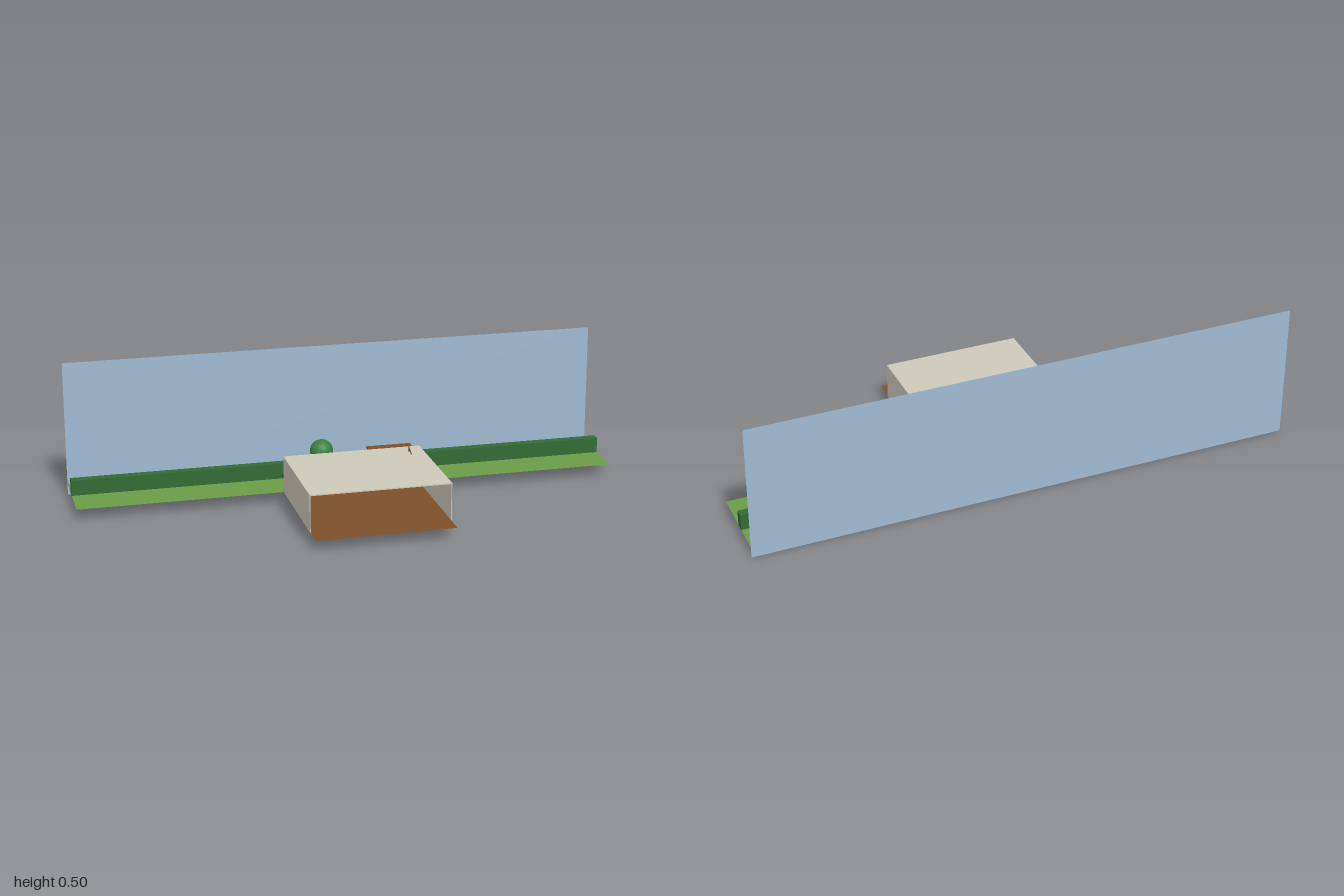
import * as THREE from 'three';

export function createModel() {
  const root = new THREE.Group();
  root.name = 'gardenRoom';
  const mat = (name, color, side = THREE.FrontSide) => {
    const m = new THREE.MeshStandardMaterial({ color, side });
    m.name = name;
    return m;
  };
  const sky = mat('skyBlue', 0x9fbad2, THREE.DoubleSide);
  const grass = mat('grassGreen', 0x6b9c48, THREE.DoubleSide);
  const plaster = mat('plaster', 0xcdc8ba);
  const wood = mat('wood', 0x7d4f2a, THREE.DoubleSide);
  const hedgeGreen = mat('hedgeGreen', 0x336b35);
  const leaf = mat('leafGreen', 0x3a8040);
  const dark = mat('darkBrown', 0x3a2416);
  const white = mat('offWhite', 0xe8e4da);

  const add = (name, geo, m, x = 0, y = 0, z = 0, parent = root) => {
    const mesh = new THREE.Mesh(geo, m);
    mesh.name = name;
    mesh.position.set(x, y, z);
    parent.add(mesh);
    return mesh;
  };
  // Box given by its extents on each axis
  const box = (name, m, x0, x1, y0, y1, z0, z1, parent = root) =>
    add(name, new THREE.BoxGeometry(x1 - x0, y1 - y0, z1 - z0), m,
      (x0 + x1) / 2, (y0 + y1) / 2, (z0 + z1) / 2, parent);
  const group = (name) => {
    const g = new THREE.Group();
    g.name = name;
    root.add(g);
    return g;
  };

  const G = 0.043; // ground level
  const BACK = -0.108; // outer face of the back wall

  // Backdrop, lawn and floor sheets
  add('skyBackdrop', new THREE.PlaneGeometry(2, 0.5), sky, 0, 0.25, -0.393);
  add('lawn', new THREE.PlaneGeometry(2, 0.285).rotateX(-Math.PI / 2), grass, 0, G, -0.2505);
  add('floor', new THREE.PlaneGeometry(0.5, 0.501).rotateX(-Math.PI / 2), wood, 0, G, 0.1425);

  // House shell, open at the front
  const house = group('house');
  for (const s of [-1, 1]) {
    box('sideWall', plaster, s * 0.2515 - 0.0015, s * 0.2515 + 0.0015, G, 0.176, BACK, 0.313, house);
  }
  box('roof', plaster, -0.253, 0.253, 0.175, 0.179, BACK, 0.313, house);

  // Back wall with a tall window and a doorway
  const openings = [[-0.193, -0.13], [0.12, 0.173]];
  const wall = new THREE.Shape();
  const rect = (p, x0, x1, y0, y1) => {
    p.moveTo(x0, y0);
    p.lineTo(x1, y0);
    p.lineTo(x1, y1);
    p.lineTo(x0, y1);
    p.closePath();
    return p;
  };
  rect(wall, -0.25, 0.25, G, 0.175);
  for (const [a, b] of openings) wall.holes.push(rect(new THREE.Path(), a, b, 0.046, 0.144));
  add('backWall', new THREE.ExtrudeGeometry(wall, { depth: 0.004, bevelEnabled: false }),
    plaster, 0, 0, BACK, house);
  for (const [a, b] of openings) {
    for (const x of [a, b]) box('openingJamb', dark, x - 0.001, x + 0.001, 0.046, 0.146, BACK - 0.001, BACK + 0.005, house);
    box('openingHead', dark, a, b, 0.144, 0.146, BACK - 0.001, BACK + 0.005, house);
  }

  // Fireplace with mantel, ornament and picture
  const fire = group('fireplace');
  box('chimneyBreast', wood, -0.05, 0.046, G, 0.108, -0.104, -0.085, fire);
  box('mantelShelf', wood, -0.058, 0.054, 0.108, 0.114, -0.104, -0.08, fire);
  box('firebox', dark, -0.025, 0.021, 0.046, 0.08, -0.085, -0.084, fire);
  box('ornament', dark, -0.008, 0.004, 0.114, 0.121, -0.098, -0.09, fire);
  box('picture', wood, -0.028, 0.025, 0.124, 0.155, -0.104, -0.1, fire);

  // Bookcase
  const shelf = group('bookcase');
  box('carcass', wood, 0.2, 0.247, G, 0.17, -0.104, -0.08, shelf);
  for (let i = 0; i < 7; i++) {
    const y = 0.052 + i * 0.017;
    box('shelfGap', dark, 0.204, 0.243, y, y + 0.004, -0.08, -0.079, shelf);
  }

  // Sofa and pale floor lamp by the left wall
  const sofa = group('sofa');
  box('seat', hedgeGreen, -0.246, -0.2, G, 0.06, -0.02, 0.06, sofa);
  box('backrest', hedgeGreen, -0.246, -0.233, 0.06, 0.072, -0.02, 0.06, sofa);
  const lamp = group('floorLamp');
  add('lampPole', new THREE.CylinderGeometry(0.002, 0.002, 0.08, 8), dark, -0.232, 0.083, -0.06, lamp);
  add('lampShade', new THREE.CylinderGeometry(0.009, 0.016, 0.024, 16), white, -0.232, 0.128, -0.06, lamp);
  box('wallPicture', white, -0.25, -0.246, 0.08, 0.12, -0.02, 0.04, lamp);

  // Rear porch: deck, cover and posts
  const porch = group('porch');
  box('deck', wood, 0.075, 0.24, G + 0.001, 0.047, -0.195, BACK, porch);
  box('cover', wood, 0.075, 0.24, 0.158, 0.163, -0.191, BACK, porch);
  for (const x of [0.081, 0.234]) box('post', wood, x - 0.0035, x + 0.0035, 0.047, 0.158, -0.187, -0.18, porch);
  add('porchLamp', new THREE.SphereGeometry(0.004, 10, 8), white, 0.185, 0.126, -0.113, porch);

  // Slanted rod on the roof with its prop
  const rod = box('roofRod', wood, -0.0015, 0.0015, -0.0015, 0.0015, -0.029, 0.029);
  rod.position.set(0.198, 0.192, -0.039);
  rod.rotation.x = 0.49;
  box('rodProp', dark, 0.197, 0.199, 0.178, 0.197, -0.05, -0.048);

  // Hedges with a gap behind the porch
  for (const [a, b] of [[-1, 0.05], [0.25, 1]]) box('hedge', hedgeGreen, a, b, G, 0.1, -0.288, -0.255);

  // Round tree
  add('treeTrunk', new THREE.CylinderGeometry(0.006, 0.006, 0.09, 10), wood, -0.092, 0.088, -0.196);
  add('treeCrown', new THREE.SphereGeometry(0.043, 16, 12), leaf, -0.092, 0.158, -0.196);

  // Flowers along the hedges
  for (const x of [-0.225, -0.193, -0.163, -0.135, -0.045, -0.015, 0.275, 0.308]) {
    add('flowerHead', new THREE.SphereGeometry(0.005, 8, 6), dark, x, 0.056, -0.244);
    add('flowerStem', new THREE.CylinderGeometry(0.001, 0.001, 0.01, 5), leaf, x, 0.048, -0.244);
  }
  return root;
}
